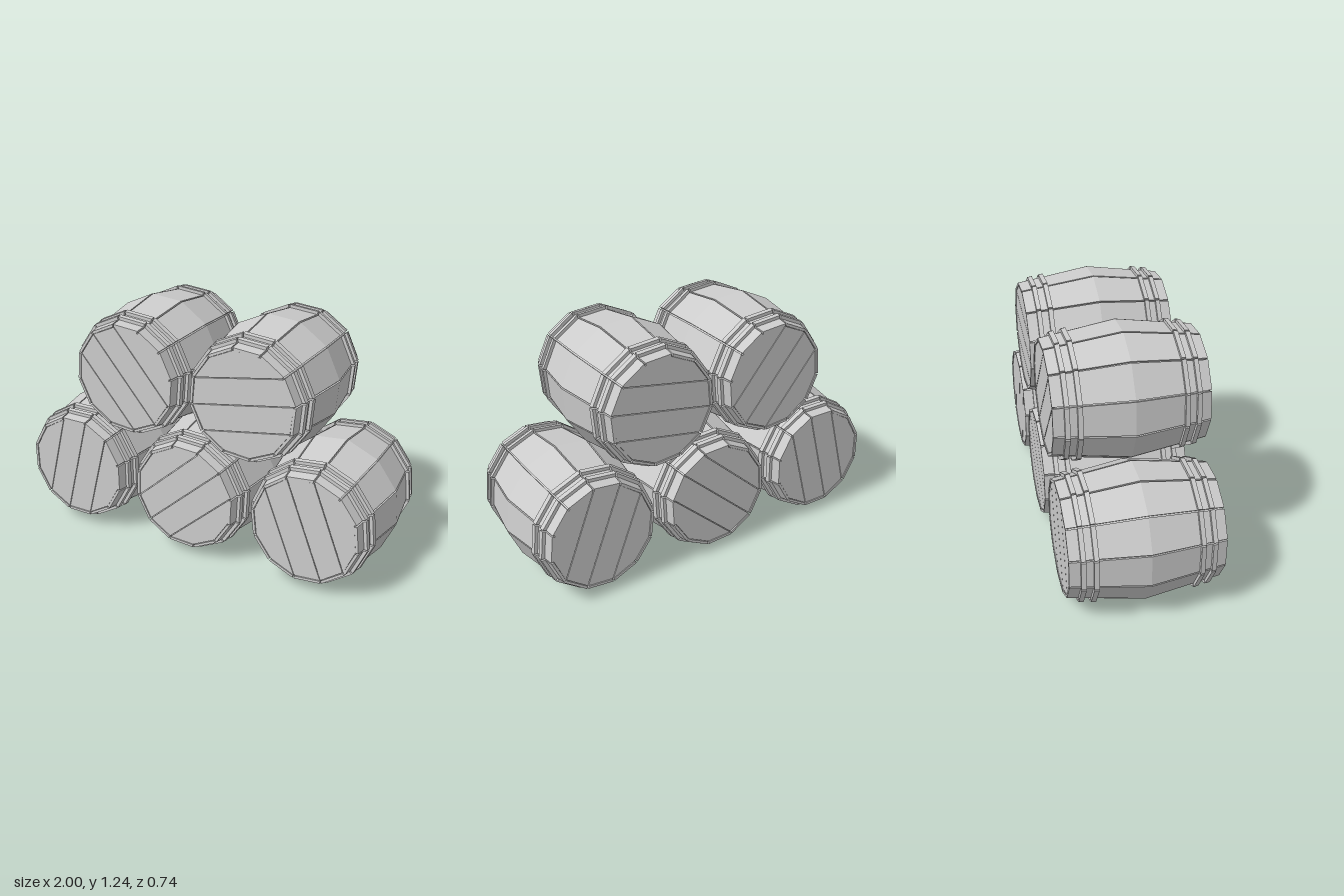
import * as THREE from 'three';
import { mergeGeometries } from 'three/addons/utils/BufferGeometryUtils.js';

const SIDES = 12, HALF = 0.37, R_MID = 0.34, R_END = 0.284, GAP = 0.004;
const bodyRadius = z => R_MID + (R_END - R_MID) * Math.abs(z) / HALF;

// One flat-sided plate lofted through [z, radius] sections, pointing along +x
function plate(sections, thickness) {
  const c = Math.cos(Math.PI / SIDES), s = Math.sin(Math.PI / SIDES);
  const rings = sections.map(([z, r]) => {
    const i = r - thickness;
    return [[r * c, GAP - r * s, z], [r * c, r * s - GAP, z], [i * c, i * s - GAP, z], [i * c, GAP - i * s, z]];
  });
  const pos = [];
  const quad = (a, b, d, e) => pos.push(...a, ...b, ...d, ...a, ...d, ...e);
  for (let n = 0; n < rings.length - 1; n++) {
    for (let i = 0; i < 4; i++) {
      const j = (i + 1) % 4;
      quad(rings[n][i], rings[n][j], rings[n + 1][j], rings[n + 1][i]);
    }
  }
  const first = rings[0], last = rings[rings.length - 1];
  quad(last[0], last[1], last[2], last[3]);
  quad(first[3], first[2], first[1], first[0]);
  const g = new THREE.BufferGeometry();
  g.setAttribute('position', new THREE.Float32BufferAttribute(pos, 3));
  g.computeVertexNormals();
  return g;
}

// Twelve plates around the barrel axis, separated by narrow gaps
function plateRing(sections, thickness) {
  const parts = [];
  for (let k = 0; k < SIDES; k++) {
    parts.push(plate(sections, thickness).rotateZ((k + 0.5) * 2 * Math.PI / SIDES));
  }
  return mergeGeometries(parts);
}

// Four head boards cut along the corners of the twelve-sided end
function headBoards() {
  const r = 0.268, depth = 0.02;
  const corner = (deg, dy) => {
    const a = THREE.MathUtils.degToRad(deg);
    return new THREE.Vector2(r * Math.cos(a), r * Math.sin(a) + dy);
  };
  const inner = [corner(0, GAP / 2), corner(30, -GAP / 2), corner(150, -GAP / 2), corner(180, GAP / 2)];
  const outer = [corner(30, GAP / 2), corner(60, 0), corner(90, 0), corner(120, 0), corner(150, GAP / 2)];
  const parts = [];
  for (const points of [inner, outer]) {
    for (const turn of [0, Math.PI]) {
      parts.push(new THREE.ExtrudeGeometry(new THREE.Shape(points), { depth, bevelEnabled: false })
        .rotateZ(turn).translate(0, 0, HALF - 0.004 - depth));
    }
  }
  return mergeGeometries(parts);
}

// Solid body behind the gaps
function coreGeometry() {
  const e = HALF - 0.014, inset = 0.012;
  const profile = [[0, -e], [R_END - inset, -e], [R_MID - inset, 0], [R_END - inset, e], [0, e]]
    .map(p => new THREE.Vector2(...p));
  const g = new THREE.LatheGeometry(profile, SIDES).rotateX(Math.PI / 2).toNonIndexed();
  g.computeVertexNormals();
  return g;
}

export function createModel() {
  const wood = new THREE.MeshStandardMaterial({ color: 0xcccccc });
  wood.name = 'pale grey';

  const core = coreGeometry();
  const staves = plateRing([[-HALF, R_END], [0, R_MID], [HALF, R_END]], 0.014);
  const boards = headBoards();
  const hoops = [[-0.318, -0.295], [-0.26, -0.237], [0.237, 0.26], [0.295, 0.318]]
    .map(zs => plateRing(zs.map(z => [z, bodyRadius(z) + 0.017]), 0.022));

  function barrel(name, x, y, roll) {
    const group = new THREE.Group();
    group.name = name;
    const add = (part, geometry) => {
      const mesh = new THREE.Mesh(geometry, wood);
      mesh.name = part;
      group.add(mesh);
      return mesh;
    };
    add('core', core);
    add('staves', staves);
    hoops.forEach((h, i) => add('hoop' + (i + 1), h));
    add('frontHead', boards);
    add('backHead', boards).rotation.y = Math.PI;
    group.position.set(x, y, 0);
    group.rotation.z = THREE.MathUtils.degToRad(roll);
    return group;
  }

  // Three barrels below, two resting above, each rolled differently
  const model = new THREE.Group();
  model.name = 'barrelStack';
  model.add(
    barrel('bottomRightBarrel', -0.67, 0.338, 75),
    barrel('bottomMiddleBarrel', -0.003, 0.335, 42),
    barrel('bottomLeftBarrel', 0.664, 0.338, 111),
    barrel('topRightBarrel', -0.337, 0.91, 130),
    barrel('topLeftBarrel', 0.324, 0.91, 10)
  );
  return model;
}
